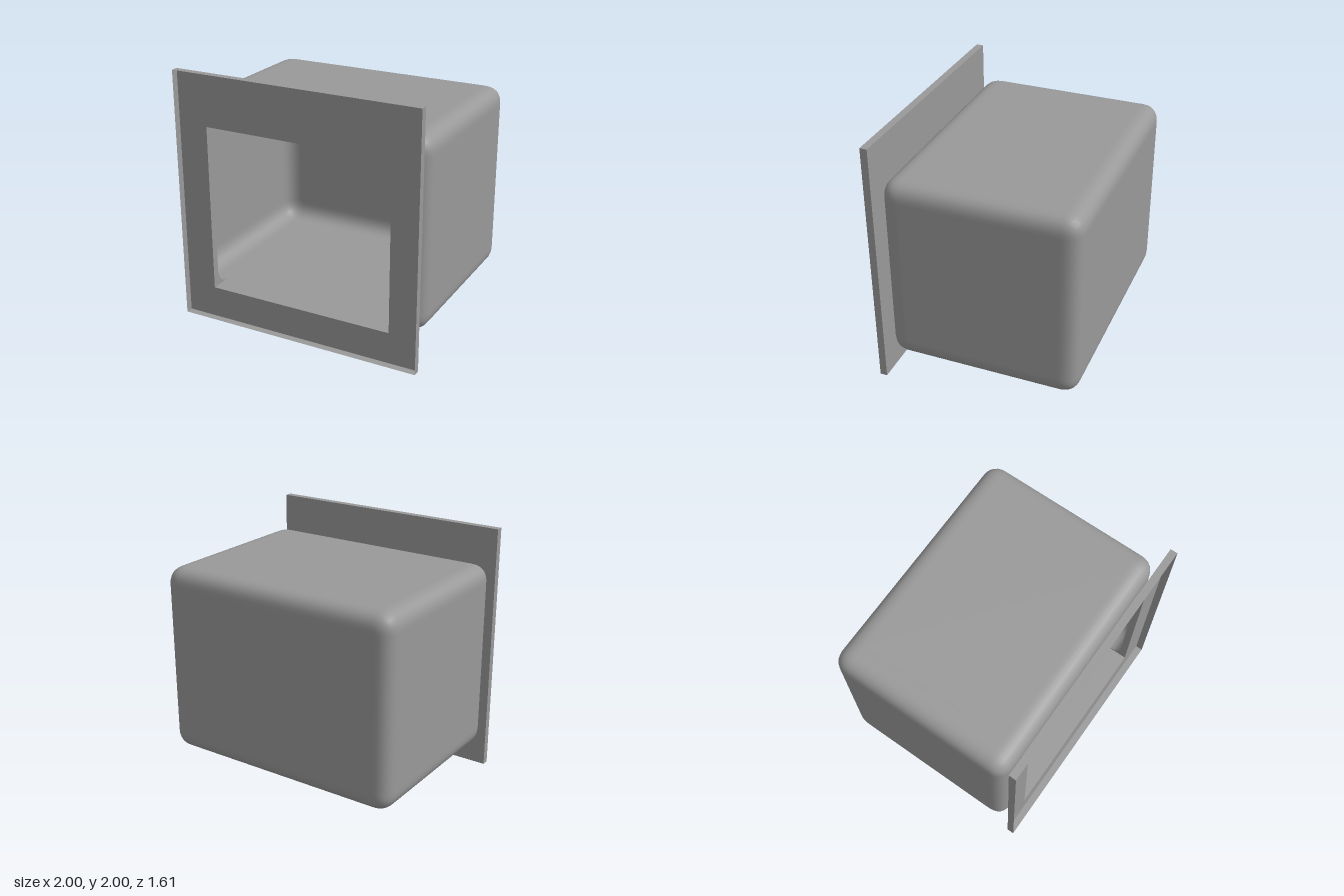
import * as THREE from 'three';

const FRONT = 0.805, PLATE_BACK = 0.748, BOX_FRONT = 0.692, BOX_BACK = -0.805;
const HOLE_X = 0.76, FLOOR = 0.25, HOLE_TOP = 1.58, BOX_TOP = 1.75;
const R = 0.15, POWER = 2.6; // reach and fullness of the soft edges
const SEGMENTS = 4; // steps per half rounded edge

const material = new THREE.MeshStandardMaterial({ color: 0x999999, side: THREE.DoubleSide });

function add(group, name, geometry) {
  const mesh = new THREE.Mesh(geometry, material);
  mesh.name = name;
  group.add(mesh);
  return mesh;
}

// Length that turns a direction into a point on the soft, full rounding
const softLength = (...c) => c.reduce((sum, k) => sum + Math.abs(k) ** POWER, 0) ** (1 / POWER);

// Grid lines along one axis: rounded ends plus extra lines on the flat part
function gridLines(min, max, extra) {
  const lines = [...extra];
  for (let i = 0; i <= SEGMENTS; i++) {
    const d = R * Math.tan((Math.PI / 4) * (i / SEGMENTS));
    lines.push(min + R - d, max - R + d);
  }
  return lines.sort((a, b) => a - b);
}

// Thin rounded box, with the opening cut through its front and front bottom edge
function shellGeometry() {
  const min = [-1, FLOOR, BOX_BACK], max = [1, BOX_TOP, BOX_FRONT];
  const lines = [[-HOLE_X, HOLE_X], [HOLE_TOP], []].map((e, i) => gridLines(min[i], max[i], e));
  const positions = [], normals = [], index = [];
  for (let w = 0; w < 3; w++) {
    const u = (w + 1) % 3, v = (w + 2) % 3;
    for (const side of [-1, 1]) {
      const start = positions.length / 3, cols = lines[u].length;
      for (const b of lines[v]) for (const a of lines[u]) {
        const p = [];
        p[u] = a; p[v] = b; p[w] = side < 0 ? min[w] : max[w];
        const core = p.map((c, i) => Math.min(Math.max(c, min[i] + R), max[i] - R));
        const out = p.map((c, i) => c - core[i]);
        const scale = R / softLength(...out);
        positions.push(...core.map((c, i) => c + out[i] * scale));
        const n = new THREE.Vector3(...out.map(c => Math.sign(c) * Math.abs(c / R) ** (POWER - 1)));
        normals.push(...n.normalize().toArray());
      }
      for (let j = 0; j < lines[v].length - 1; j++) for (let i = 0; i < cols - 1; i++) {
        const a = start + j * cols + i, b = a + 1, c = b + cols, d = a + cols;
        const mid = [0, 1, 2].map(k => (positions[a * 3 + k] + positions[c * 3 + k]) / 2);
        if (Math.abs(mid[0]) < HOLE_X && mid[1] < HOLE_TOP && mid[2] > BOX_FRONT - R) continue;
        if (side > 0) index.push(a, b, c, a, c, d);
        else index.push(a, c, b, a, d, c);
      }
    }
  }
  const geometry = new THREE.BufferGeometry();
  geometry.setAttribute('position', new THREE.Float32BufferAttribute(positions, 3));
  geometry.setAttribute('normal', new THREE.Float32BufferAttribute(normals, 3));
  geometry.setIndex(index);
  return geometry;
}

// Flat sheet with a rectangular opening
function plateGeometry() {
  const shape = new THREE.Shape([[-1, 0], [1, 0], [1, 2], [-1, 2]].map(p => new THREE.Vector2(...p)));
  shape.holes.push(new THREE.Path([[-HOLE_X, FLOOR], [-HOLE_X, HOLE_TOP], [HOLE_X, HOLE_TOP], [HOLE_X, FLOOR]]
    .map(p => new THREE.Vector2(...p))));
  return new THREE.ShapeGeometry(shape).translate(0, 0, PLATE_BACK);
}

// Collar cheek, drawn in (-z, y), following the box's rounded lower edge
function cheekGeometry() {
  const points = [new THREE.Vector2(-PLATE_BACK, HOLE_TOP), new THREE.Vector2(-PLATE_BACK, FLOOR)];
  for (let i = 0; i <= SEGMENTS * 2; i++) {
    const t = (Math.PI / 4) * (i / SEGMENTS), s = Math.sin(t), c = Math.cos(t);
    const k = R / softLength(s, c);
    points.push(new THREE.Vector2(R - BOX_FRONT - s * k, FLOOR + R - c * k));
  }
  points.push(new THREE.Vector2(-BOX_FRONT, HOLE_TOP));
  return new THREE.ShapeGeometry(new THREE.Shape(points)).rotateY(Math.PI / 2);
}

// Horizontal panel at height y, facing up
function panelGeometry(width, y, z0, z1) {
  return new THREE.PlaneGeometry(width, z1 - z0).rotateX(-Math.PI / 2).translate(0, y, (z0 + z1) / 2);
}

export function createModel() {
  const model = new THREE.Group();
  model.name = 'recessedBox';
  add(model, 'cavityShell', shellGeometry());

  // Front plate: a shallow tray, open towards the front
  const plate = new THREE.Group();
  plate.name = 'frontPlate';
  add(plate, 'plateSheet', plateGeometry());
  for (let i = 0; i < 4; i++) {
    const rim = add(plate, 'plateRim', panelGeometry(2, 1, PLATE_BACK, FRONT));
    rim.position.y = 1;
    rim.rotation.z = i * Math.PI / 2;
  }
  model.add(plate);

  // Collar joining the plate to the shell
  const collar = new THREE.Group();
  collar.name = 'collar';
  for (const [name, x] of [['leftCheek', HOLE_X], ['rightCheek', -HOLE_X]]) {
    add(collar, name, cheekGeometry()).position.x = x;
  }
  add(collar, 'collarTop', panelGeometry(HOLE_X * 2, HOLE_TOP, BOX_FRONT, PLATE_BACK));
  add(collar, 'collarFloor', panelGeometry(HOLE_X * 2, FLOOR, BOX_FRONT - R, PLATE_BACK));
  model.add(collar);
  return model;
}
